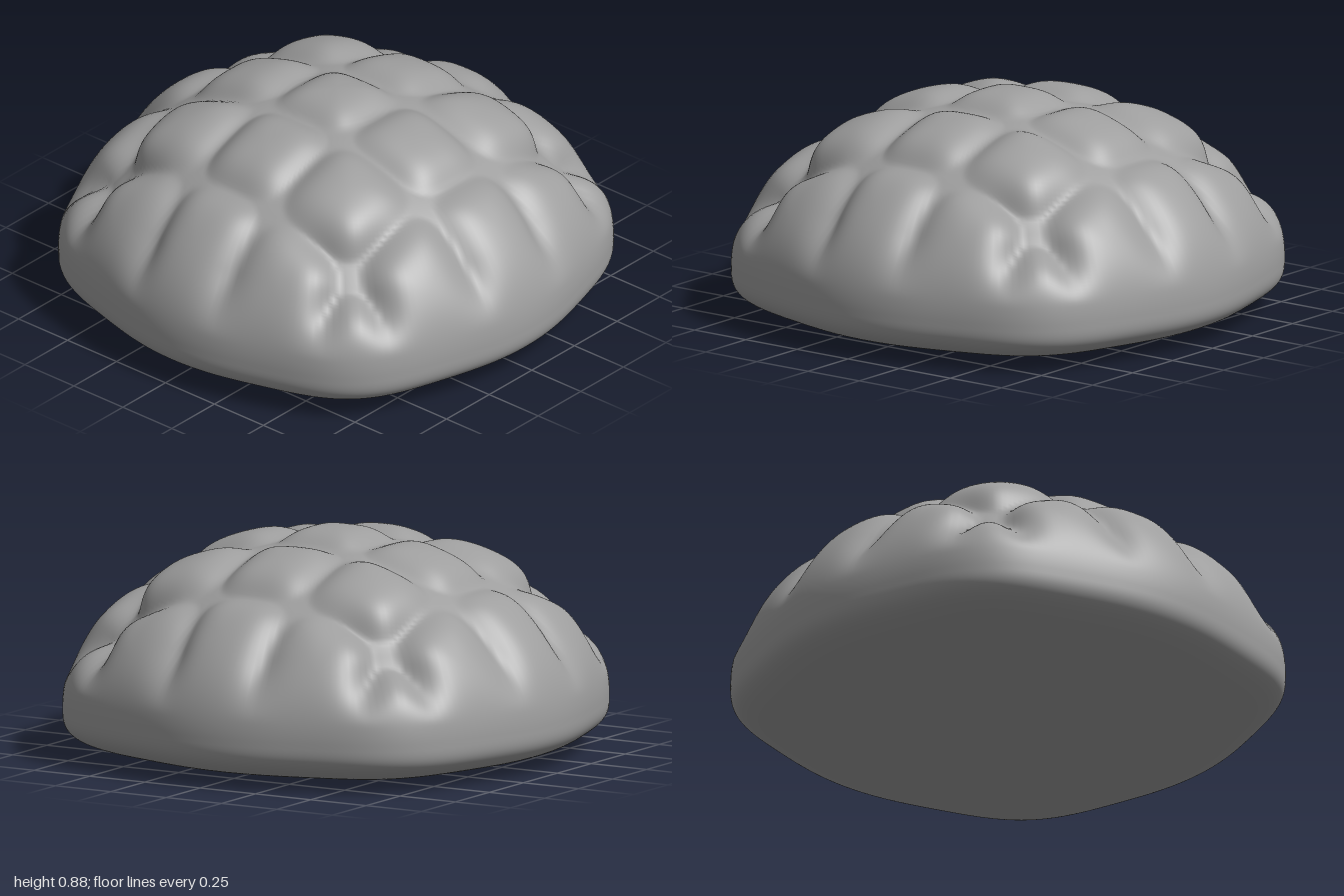
import * as THREE from 'three';
import { mergeVertices } from 'three/addons/utils/BufferGeometryUtils.js';

const { smoothstep } = THREE.MathUtils;
const RIM = 0.2;      // height of the widest ring
const DOME = 0.68;    // dome height above the rim
const INNER = 0.205;  // groove lines, mirrored on both axes
const OUTER = 0.635;

// 0 in the middle of a pillow, 1 on a groove line; the outer row stays open
function cellCoord(t) {
  const a = Math.abs(t);
  if (a < INNER) return a / INNER;
  if (a < OUTER) return Math.abs(2 * a - INNER - OUTER) / (OUTER - INNER);
  return Math.max(0, 1 - (a - OUTER) / 0.2);
}

// Groove depth around round-cornered pillows, deepest between the corner pillows
function grooveDepth(x, y, z) {
  const q = Math.hypot(cellCoord(x) ** 2, cellCoord(z) ** 2) ** 0.5;
  const gap = Math.max(0, 1 - q);
  const corner = smoothstep(Math.abs(x * z), 0.2, 0.4);
  return 0.053 * (1 + 0.9 * corner) * Math.exp(-((gap / 0.34) ** 1.5)) * smoothstep(y, 0.27, 0.52);
}

// A soft dome with four bulging corners and a flat underside
function bunPoint(v) {
  const r = Math.min(1, Math.hypot(v.x, v.z));
  const a = Math.atan2(v.z, v.x);
  const spread = 1 + 0.072 * Math.sin(2 * a) ** 6;
  const y = v.y >= 0
    ? RIM + DOME * v.y
    : RIM - RIM * Math.max(0, 1 - r ** 3.6) ** (1 / 3.6);
  return new THREE.Vector3(Math.cos(a) * r * spread, y, Math.sin(a) * r * spread);
}

function bunGeometry() {
  let geo = new THREE.SphereGeometry(1, 240, 160);
  geo.deleteAttribute('uv');
  geo.deleteAttribute('normal');
  geo = mergeVertices(geo, 1e-5);
  const pos = geo.attributes.position;
  const v = new THREE.Vector3();
  const normal = new THREE.Vector3();
  for (let i = 0; i < pos.count; i++) {
    const p = bunPoint(v.fromBufferAttribute(pos, i));
    // press the grooves in along the dome normal
    normal.set(p.x, (p.y - RIM) / (DOME * DOME), p.z).normalize();
    p.addScaledVector(normal, -grooveDepth(p.x, p.y, p.z));
    pos.setXYZ(i, p.x, p.y, p.z);
  }
  geo.computeVertexNormals();
  return geo;
}

export function createModel() {
  const group = new THREE.Group();
  group.name = 'bun';
  const crust = new THREE.Mesh(bunGeometry(), new THREE.MeshStandardMaterial({ color: 0x9e9e9e }));
  crust.name = 'crust';
  group.add(crust);
  return group;
}
